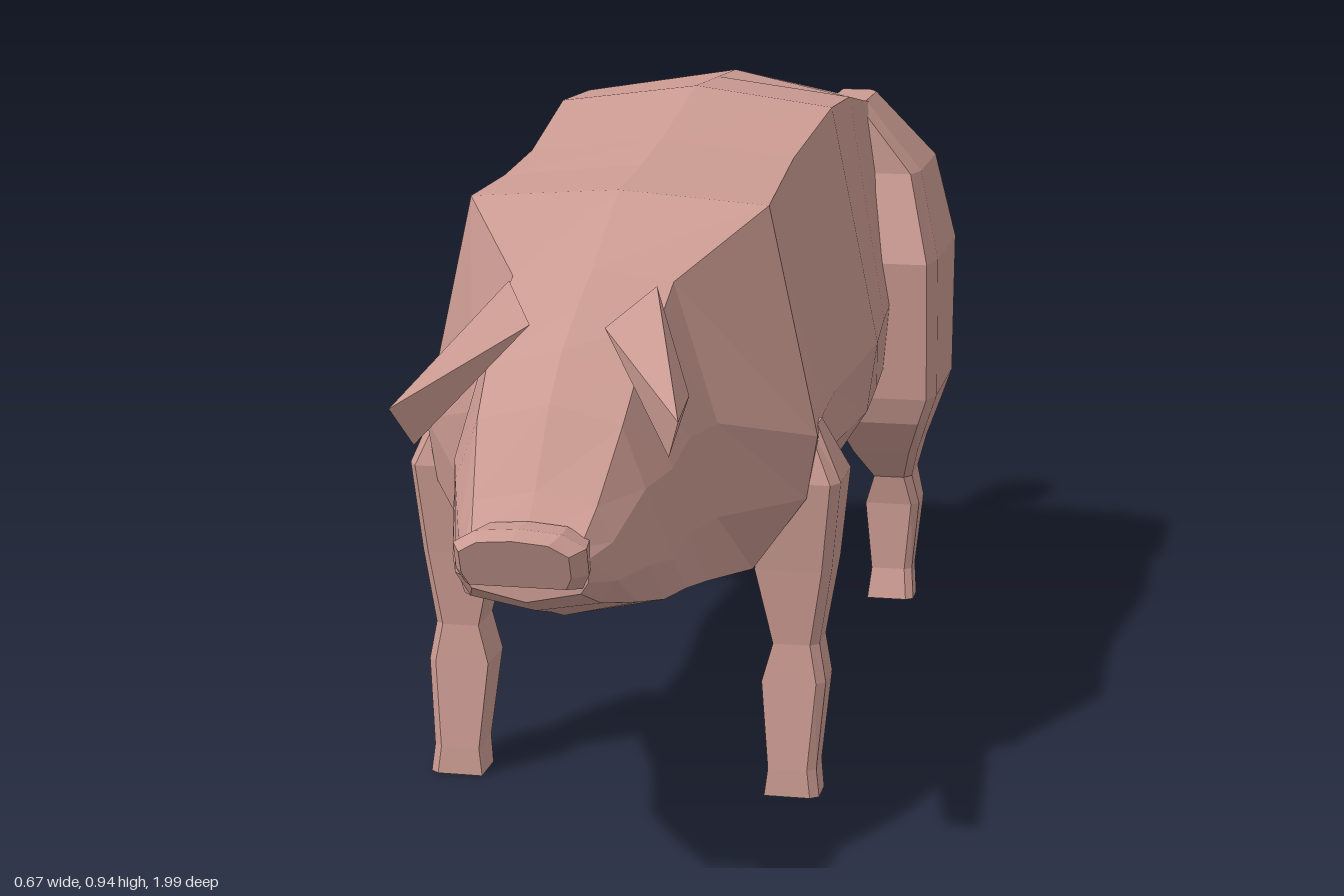
import * as THREE from 'three';
import { ConvexGeometry } from 'three/addons/geometries/ConvexGeometry.js';

const skin = new THREE.MeshStandardMaterial({ color: 0xcb9b92 });
skin.name = 'pink skin';

// Skin a list of equal-length rings of [x, y, z], closing both ends; facets stay flat.
function loft(rings) {
  const pos = [];
  const tri = (a, b, c) => pos.push(...a, ...b, ...c);
  const n = rings[0].length;
  for (let r = 0; r < rings.length - 1; r++) {
    for (let i = 0; i < n; i++) {
      const j = (i + 1) % n, a = rings[r], b = rings[r + 1];
      tri(a[i], a[j], b[j]);
      tri(a[i], b[j], b[i]);
    }
  }
  const first = rings[0], last = rings[rings.length - 1];
  const middle = (ring) => [0, 1, 2].map((k) => ring.reduce((s, p) => s + p[k], 0) / n);
  for (let i = 0; i < n; i++) {
    const j = (i + 1) % n;
    tri(middle(first), first[j], first[i]);
    tri(middle(last), last[i], last[j]);
  }
  // Turn the surface outward if the rings ran the other way
  let volume = 0;
  const v = (k) => new THREE.Vector3(pos[k], pos[k + 1], pos[k + 2]);
  for (let k = 0; k < pos.length; k += 9) volume += v(k).dot(v(k + 3).cross(v(k + 6)));
  if (volume < 0) {
    for (let k = 0; k < pos.length; k += 9) {
      for (let c = 0; c < 3; c++) [pos[k + c], pos[k + 3 + c]] = [pos[k + 3 + c], pos[k + c]];
    }
  }
  const geo = new THREE.BufferGeometry();
  geo.setAttribute('position', new THREE.Float32BufferAttribute(pos, 3));
  geo.computeVertexNormals();
  return geo;
}

// Symmetric ring: top centre, four right-hand points, bottom centre
function section([z, top, xe, ye, xm, ym, xl, yl, xb, yb, bottom]) {
  const half = [[xe, ye, z], [xm, ym, z], [xl, yl, z], [xb, yb, z]];
  const mirrored = half.map(([x, y, d]) => [-x, y, d]).reverse();
  return [[0, top, z], ...half, [0, bottom, z], ...mirrored];
}

// Leg ring with cut outer corners: height, front z, back z, inner x, outer x
function legRing(side, [y, zf, zb, xi, xo]) {
  const cut = (zf - zb) * 0.15;
  return [[xi, y, zf], [xo - 0.012, y, zf], [xo, y, zf - cut],
    [xo, y, zb + cut], [xo - 0.012, y, zb], [xi, y, zb]].map(([x, h, z]) => [side * x, h, z]);
}

export function createModel() {
  const pig = new THREE.Group();
  pig.name = 'pig';
  const add = (name, geo) => {
    const mesh = new THREE.Mesh(geo, skin);
    mesh.name = name;
    pig.add(mesh);
  };

  // Head, from snout to neck
  const head = [
    [0.93, 0.515, 0.07, 0.505, 0.08, 0.49, 0.08, 0.46, 0.07, 0.445, 0.43],
    [0.88, 0.56, 0.08, 0.545, 0.10, 0.50, 0.105, 0.45, 0.085, 0.42, 0.405],
    [0.80, 0.655, 0.095, 0.63, 0.125, 0.55, 0.13, 0.45, 0.115, 0.40, 0.38],
    [0.73, 0.71, 0.10, 0.685, 0.145, 0.56, 0.147, 0.44, 0.135, 0.385, 0.355],
    [0.64, 0.75, 0.11, 0.735, 0.15, 0.58, 0.15, 0.45, 0.145, 0.375, 0.35],
    [0.55, 0.785, 0.11, 0.77, 0.17, 0.58, 0.17, 0.45, 0.155, 0.36, 0.34],
  ];
  // Trunk, from shoulders to rump
  const trunk = [
    [0.39, 0.865, 0.21, 0.85, 0.28, 0.53, 0.265, 0.44, 0.19, 0.335, 0.33],
    [0.24, 0.877, 0.20, 0.857, 0.265, 0.53, 0.26, 0.45, 0.19, 0.345, 0.335],
    [0.10, 0.895, 0.195, 0.872, 0.26, 0.53, 0.25, 0.44, 0.19, 0.335, 0.325],
    [-0.16, 0.94, 0.21, 0.912, 0.285, 0.55, 0.27, 0.44, 0.19, 0.315, 0.295],
    [-0.34, 0.932, 0.21, 0.905, 0.27, 0.55, 0.26, 0.44, 0.18, 0.31, 0.29],
    [-0.49, 0.925, 0.21, 0.88, 0.26, 0.55, 0.25, 0.44, 0.18, 0.35, 0.34],
    [-0.68, 0.88, 0.22, 0.85, 0.28, 0.62, 0.27, 0.44, 0.19, 0.36, 0.355],
    [-0.78, 0.81, 0.21, 0.785, 0.30, 0.62, 0.29, 0.44, 0.19, 0.365, 0.36],
    [-0.825, 0.68, 0.19, 0.67, 0.21, 0.60, 0.20, 0.53, 0.15, 0.48, 0.47],
  ];
  add('body', loft([...head, ...trunk].map(section)));

  // Snout disc, leaning back at the bottom
  const disc = [[0, 0.535], [0.055, 0.53], [0.085, 0.512], [0.085, 0.475],
    [0.075, 0.455], [-0.075, 0.455], [-0.085, 0.475], [-0.085, 0.512], [-0.055, 0.53]];
  add('snout', loft([[0.915, 0.9], [0.968, 1], [1.0, 0.82]].map(([z, s]) =>
    disc.map(([x, y]) => [x * s, 0.493 + (y - 0.493) * s, z + (y - 0.535) * 0.35]))));

  const foreleg = [
    [0.54, 0.37, 0.31, 0.22, 0.275], [0.46, 0.39, 0.255, 0.20, 0.31],
    [0.33, 0.375, 0.26, 0.19, 0.297], [0.22, 0.365, 0.285, 0.215, 0.28],
    [0.165, 0.37, 0.285, 0.2, 0.29], [0.04, 0.383, 0.312, 0.212, 0.28],
    [0, 0.385, 0.32, 0.207, 0.285],
  ];
  const hindleg = [
    [0.875, -0.50, -0.67, 0.15, 0.21], [0.76, -0.50, -0.775, 0.15, 0.30],
    [0.62, -0.45, -0.795, 0.15, 0.335], [0.39, -0.475, -0.775, 0.15, 0.335],
    [0.345, -0.49, -0.765, 0.17, 0.32], [0.275, -0.57, -0.745, 0.19, 0.295],
    [0.215, -0.645, -0.755, 0.215, 0.278], [0.165, -0.655, -0.745, 0.2, 0.29],
    [0.05, -0.655, -0.715, 0.212, 0.28], [0, -0.64, -0.70, 0.207, 0.285],
  ];
  for (const [side, label] of [[1, 'left'], [-1, 'right']]) {
    add(label + 'Foreleg', loft(foreleg.map((r) => legRing(side, r))));
    add(label + 'HaunchAndHindLeg', loft(hindleg.map((r) => legRing(side, r))));
    // Ear flopping forward and outward from the brow
    const ear = [[0.1, 0.775, 0.61], [0.05, 0.735, 0.70], [0.185, 0.66, 0.89],
      [0.165, 0.655, 0.72], [0.165, 0.605, 0.85], [0.12, 0.67, 0.76]];
    const geo = new ConvexGeometry(ear.map(([x, y, z]) => new THREE.Vector3(side * x, y, z)));
    add(label + 'Ear', geo);
  }

  // Curled tail: tapering hexagonal rings along a spiral
  const path = [[-0.80, 0.635], [-0.91, 0.66], [-0.965, 0.72], [-0.965, 0.785], [-0.925, 0.827],
    [-0.875, 0.825], [-0.845, 0.79], [-0.845, 0.75], [-0.87, 0.722], [-0.90, 0.73]];
  add('tail', loft(path.map(([z, y], i) => {
    const a = path[Math.max(i - 1, 0)], b = path[Math.min(i + 1, path.length - 1)];
    const len = Math.hypot(b[0] - a[0], b[1] - a[1]);
    const nz = -(b[1] - a[1]) / len, ny = (b[0] - a[0]) / len;
    const radius = 0.034 - 0.002 * i;
    return Array.from({ length: 6 }, (_, k) => {
      const t = (k * Math.PI) / 3, c = Math.cos(t) * radius * 0.9;
      return [Math.sin(t) * radius * 1.2, y + ny * c, z + nz * c];
    });
  })));

  return pig;
}
